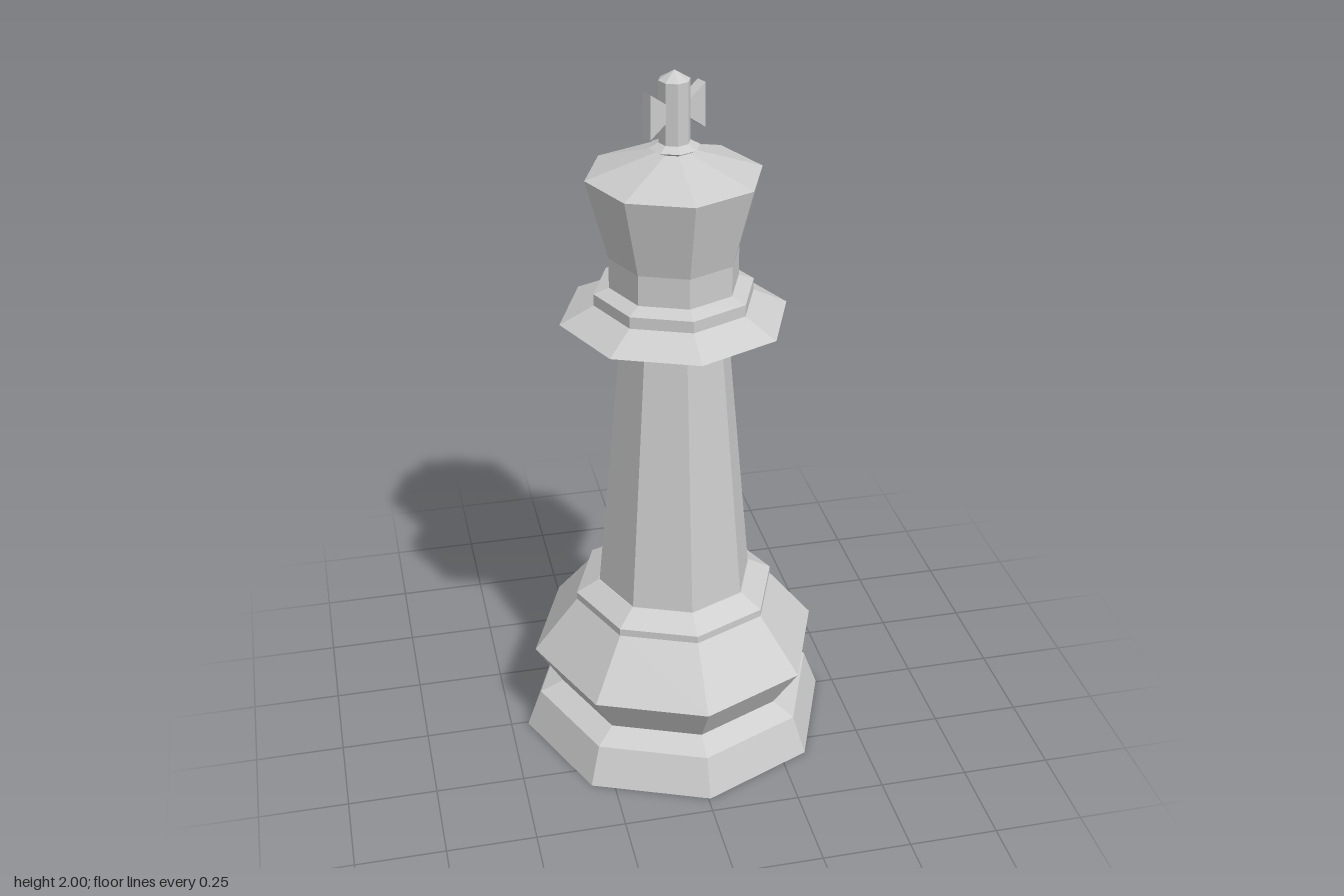
import * as THREE from 'three';

const material = new THREE.MeshStandardMaterial({ color: 0xcccccc, flatShading: true });
const SIDES = 8;

// Eight-sided turned part from [radius, height] pairs, listed bottom to top
function turned(name, profile) {
  const points = profile.map(([r, y]) => new THREE.Vector2(r, y));
  const mesh = new THREE.Mesh(new THREE.LatheGeometry(points, SIDES), material);
  mesh.name = name;
  return mesh;
}

// Flared cross arm, narrow at the post and tall at the tip
function crossArm(name) {
  const y = 1.895, depth = 0.034;
  const shape = new THREE.Shape([
    new THREE.Vector2(0.03, y - 0.02),
    new THREE.Vector2(0.086, y - 0.06),
    new THREE.Vector2(0.086, y + 0.06),
    new THREE.Vector2(0.03, y + 0.02),
  ]);
  const geometry = new THREE.ExtrudeGeometry(shape, { depth, bevelEnabled: false });
  geometry.translate(0, 0, -depth / 2);
  const mesh = new THREE.Mesh(geometry, material);
  mesh.name = name;
  return mesh;
}

export function createModel() {
  const king = new THREE.Group();
  king.name = 'chessKing';

  // Stepped foot and bulging base
  king.add(turned('base', [
    [0, 0], [0.45, 0], [0.408, 0.113], [0.34, 0.143], [0.418, 0.27],
    [0.29, 0.43], [0.29, 0.452], [0.225, 0.488], [0, 0.488],
  ]));

  // Tapered shaft
  king.add(turned('shaft', [[0.222, 0.488], [0.15, 1.27]]));

  // Wide sharp collar with a small step above it
  king.add(turned('collar', [
    [0, 1.27], [0.15, 1.27], [0.314, 1.32], [0.22, 1.367],
    [0.22, 1.4], [0.178, 1.415],
  ]));

  // Neck, flared head and shallow crown
  king.add(turned('head', [
    [0.178, 1.415], [0.178, 1.5], [0.237, 1.722], [0.045, 1.785], [0, 1.785],
  ]));

  // Thin disc and pointed post of the finial
  king.add(turned('finialDisc', [
    [0.04, 1.783], [0.068, 1.797], [0.04, 1.811], [0, 1.811],
  ]));
  king.add(turned('crossPost', [[0.042, 1.805], [0.042, 1.975], [0, 2]]));

  // Mirrored arms, square to the flats of the post
  const arms = new THREE.Group();
  arms.name = 'crossArms';
  const left = crossArm('leftArm');
  const right = crossArm('rightArm');
  right.rotation.y = Math.PI;
  arms.add(left, right);
  arms.rotation.y = Math.PI / 8;
  king.add(arms);

  king.rotation.y = 0.013;
  const model = new THREE.Group();
  model.name = 'model';
  model.add(king);
  return model;
}
